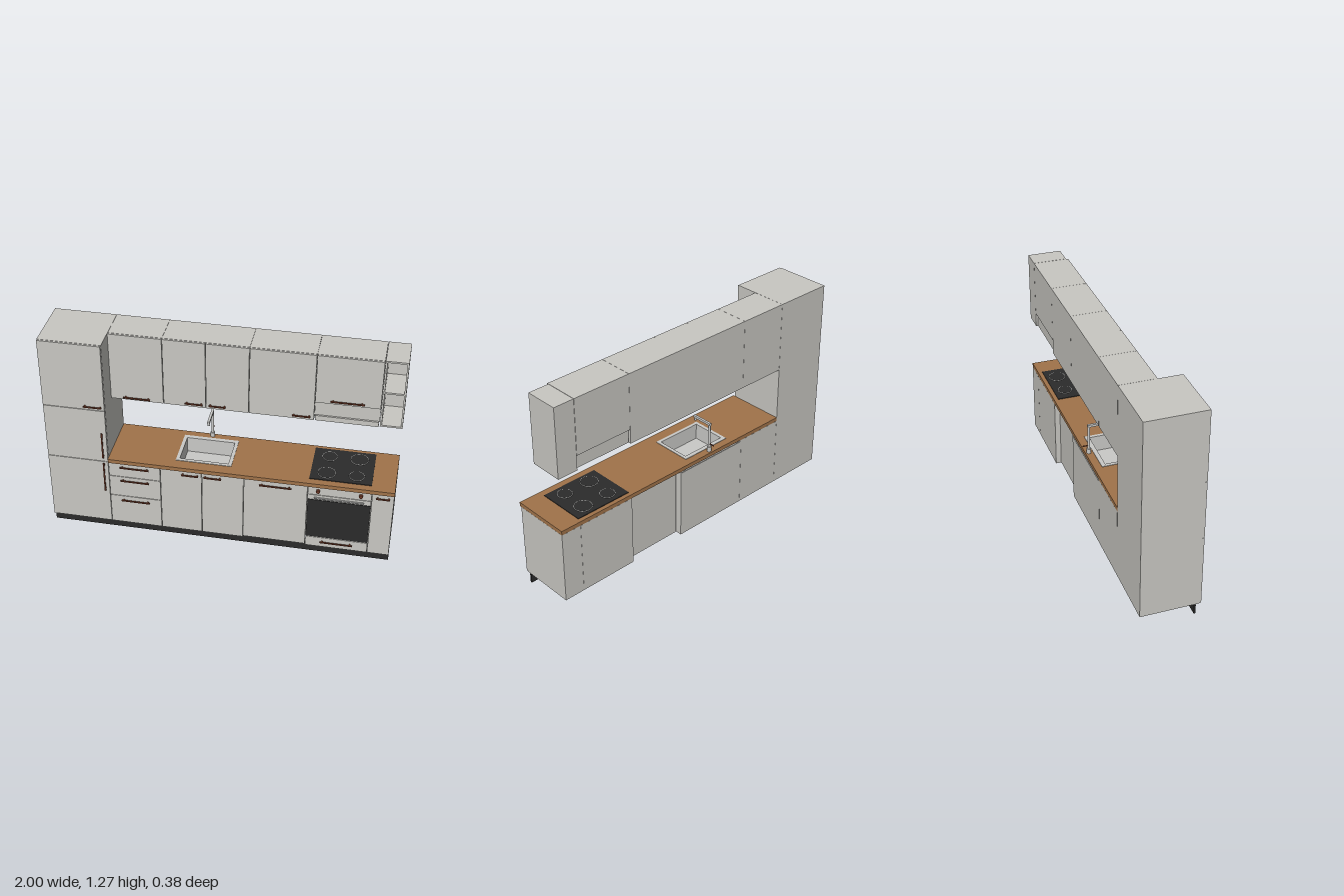
import * as THREE from 'three';

const mat = (name, color, extra = {}) => Object.assign(new THREE.MeshStandardMaterial({ color, ...extra }), { name });

export function createModel() {
  const root = new THREE.Group();
  root.name = 'kitchen';
  const grey = mat('cabinet grey', 0xc8c7c2);
  const wood = mat('worktop wood', 0xa0734a);
  const black = mat('black', 0x2b2b2b);
  const brown = mat('handle brown', 0x6b3826);
  const steel = mat('steel', 0xc9c9c7);

  const add = (name, geo, m, parent = root) => {
    const mesh = new THREE.Mesh(geo, m);
    mesh.name = name;
    parent.add(mesh);
    return mesh;
  };
  // Box given by its minimum and maximum on each axis
  const box = (name, m, x0, x1, y0, y1, z0, z1, parent = root) => {
    const b = add(name, new THREE.BoxGeometry(x1 - x0, y1 - y0, z1 - z0), m, parent);
    b.position.set((x0 + x1) / 2, (y0 + y1) / 2, (z0 + z1) / 2);
    return b;
  };
  const cyl = (name, m, r, h, x, y, z, axis = 'y', parent = root) => {
    const c = add(name, new THREE.CylinderGeometry(r, r, h, 24), m, parent);
    c.position.set(x, y, z);
    if (axis === 'z') c.rotation.x = Math.PI / 2;
    return c;
  };
  const BACK = -0.175, LOW = 0.163, UP = 0.025, T = 0.012, G = 0.0015;
  const Y0 = 0.063, YW = 0.5, YU = 0.852, YT = 1.275;

  // Front panel with a narrow shadow gap all round
  const front = (name, x0, x1, y0, y1, z = LOW) =>
    box(name, grey, x0 + G, x1 - G, y0 + G, y1 - G, z + 0.0005, z + T);

  // Bar handle on two posts
  const handle = (x0, x1, y0, y1, z) => {
    const g = new THREE.Group();
    g.name = 'handle';
    root.add(g);
    const s = 0.004, w = x1 - x0 > y1 - y0;
    box('handleBar', brown, x0, x1, y0, y1, z + 0.009, z + 0.015, g);
    for (const t of [0.08, 0.92]) {
      const px = w ? x0 + (x1 - x0) * t : (x0 + x1) / 2;
      const py = w ? (y0 + y1) / 2 : y0 + (y1 - y0) * t;
      box('handlePost', brown, px - s, px + s, py - s, py + s, z, z + 0.01, g);
    }
  };
  const handleX = (x0, x1, y, z = LOW + T) => handle(x0, x1, y - 0.004, y + 0.004, z);
  const handleY = (x, y0, y1) => handle(x - 0.004, x + 0.004, y0, y1, LOW + T);

  // Hollow cabinet of panels
  const shell = (name, x0, x1, y0, y1, z0, z1, top) => {
    const g = new THREE.Group();
    g.name = name;
    root.add(g);
    const p = 0.01;
    box('sidePanel', grey, x0, x0 + p, y0, y1, z0, z1, g);
    box('sidePanel', grey, x1 - p, x1, y0, y1, z0, z1, g);
    box('bottomPanel', grey, x0 + p, x1 - p, y0, y0 + p, z0, z1, g);
    box('backPanel', grey, x0 + p, x1 - p, y0 + p, y1 - p, z0, z0 + 0.006, g);
    if (top) box('topPanel', grey, x0 + p, x1 - p, y1 - p, y1, z0, z1, g);
    return g;
  };

  // Tall cabinet
  box('tallCabinet', grey, -1, -0.64, Y0, YT, BACK, LOW);
  [[Y0, YW], [YW, YU], [YU, YT]].forEach(([a, b]) => front('tallDoor', -1, -0.64, a, b));
  handleY(-0.665, 0.295, 0.495);
  handleY(-0.665, 0.53, 0.705);
  handleX(-0.76, -0.655, 0.877);

  // Plinth
  for (const [a, b] of [[-1, -0.335], [-0.335, 0.15], [0.15, 0.515], [0.515, 1]])
    box('plinth', black, a, b, 0, 0.06, 0.134, 0.144);

  // Drawer cabinet
  box('drawerCabinet', grey, -0.639, -0.336, Y0, YW, BACK, LOW);
  [[Y0, 0.262, 0.235], [0.262, 0.403, 0.38], [0.403, YW, 0.475]].forEach(([a, b, h]) => {
    front('drawerFront', -0.64, -0.335, a, b);
    handleX(-0.57, -0.4, h);
  });

  // Sink cabinet with two doors
  shell('sinkCabinet', -0.335, 0.15, Y0, YW, BACK, LOW, false);
  front('sinkDoor', -0.335, -0.093, Y0, YW);
  front('sinkDoor', -0.093, 0.15, Y0, YW);
  handleX(-0.21, -0.11, 0.475);
  handleX(-0.078, 0.022, 0.475);

  // Built-in dishwasher, set in from its neighbours
  box('dishwasher', grey, 0.158, 0.507, 0.072, 0.485, -0.145, LOW);
  front('dishwasherDoor', 0.15, 0.515, 0.07, YW);
  handleX(0.24, 0.425, 0.47);

  // Oven cabinet
  box('ovenCabinet', grey, 0.515, 0.874, Y0, YW, BACK, LOW);
  front('ovenDrawer', 0.515, 0.875, Y0, 0.132);
  handleX(0.6, 0.79, 0.105);
  front('ovenDoor', 0.515, 0.875, 0.132, 0.442);
  box('ovenGlass', black, 0.518, 0.872, 0.138, 0.408, LOW + T, LOW + T + 0.003);
  front('controlPanel', 0.515, 0.875, 0.442, YW);
  box('ovenBar', steel, 0.555, 0.835, 0.421, 0.429, LOW + T + 0.005, LOW + T + 0.012);
  for (const x of [0.565, 0.825]) box('ovenBarPost', steel, x - 0.004, x + 0.004, 0.422, 0.428, LOW + T, LOW + T + 0.006);
  for (const x of [0.575, 0.815]) cyl('ovenKnob', brown, 0.011, 0.014, x, 0.473, LOW + T + 0.007, 'z');

  // Narrow end cabinet
  box('endCabinet', grey, 0.875, 1, Y0, YW, BACK, LOW);
  front('endDoor', 0.875, 1, Y0, YW);
  handleX(0.9, 0.977, 0.473);

  // Worktop with a sink cut-out
  const rect = (C, x0, x1, z0, z1) => {
    const s = new C();
    s.moveTo(x0, -z1).lineTo(x1, -z1).lineTo(x1, -z0).lineTo(x0, -z0).closePath();
    return s;
  };
  const slab = (name, m, outer, inner, y, h) => {
    const s = rect(THREE.Shape, ...outer);
    s.holes.push(rect(THREE.Path, ...inner));
    const o = add(name, new THREE.ExtrudeGeometry(s, { depth: h, bevelEnabled: false }), m);
    o.rotation.x = -Math.PI / 2;
    o.position.y = y;
  };
  const bowl = [-0.235, 0.048, -0.105, 0.098];
  slab('worktop', wood, [-0.639, 1, BACK, 0.185], [-0.245, 0.058, -0.115, 0.108], YW + 0.0005, 0.0245);

  // Sink rim and bowl
  slab('sinkRim', steel, [-0.255, 0.068, -0.13, 0.118], bowl, 0.525, 0.003);
  const [bx0, bx1, bz0, bz1] = bowl, by = 0.43, w = 0.004;
  box('sinkFloor', steel, bx0 - w, bx1 + w, by - w, by, bz0 - w, bz1 + w);
  box('sinkWall', steel, bx0 - w, bx0, by, 0.526, bz0 - w, bz1 + w);
  box('sinkWall', steel, bx1, bx1 + w, by, 0.526, bz0 - w, bz1 + w);
  box('sinkWall', steel, bx0, bx1, by, 0.526, bz0 - w, bz0);
  box('sinkWall', steel, bx0, bx1, by, 0.526, bz1, bz1 + w);

  // Tap
  const fx = -0.093, fz = -0.154;
  cyl('tapBase', steel, 0.013, 0.03, fx, 0.54, fz);
  cyl('tapStem', steel, 0.0075, 0.155, fx, 0.63, fz);
  box('tapArm', steel, fx - 0.007, fx + 0.007, 0.697, 0.711, fz - 0.0075, -0.03);
  cyl('tapNozzle', steel, 0.007, 0.02, fx, 0.69, -0.04);
  cyl('tapLever', brown, 0.0035, 0.03, fx, 0.574, -0.175, 'z');

  // Hob with four ringed plates
  box('hob', black, 0.517, 0.868, 0.525, 0.529, -0.15, 0.142);
  for (const [x, z, r] of [[0.608, 0.075, 0.05], [0.778, 0.075, 0.042], [0.608, -0.08, 0.042], [0.778, -0.08, 0.05]]) {
    cyl('hobPlate', black, r, 0.003, x, 0.53, z);
    const ring = add('hobRing', new THREE.TorusGeometry(r, 0.0018, 6, 40), steel);
    ring.rotation.x = Math.PI / 2;
    ring.position.set(x, 0.53, z);
  }

  // Wall cabinets
  for (const [a, b] of [[-0.639, -0.336], [-0.335, 0.149], [0.15, 0.514]])
    box('wallCabinet', grey, a, b, YU, YT, BACK, UP);
  for (const [a, b, h0, h1, hy] of [
    [-0.64, -0.335, -0.565, -0.41, 0.872], [-0.335, -0.093, -0.21, -0.11, 0.877],
    [-0.093, 0.15, -0.075, 0.022, 0.877], [0.15, 0.515, 0.395, 0.495, 0.877]]) {
    front('wallDoor', a, b, YU, YT, UP);
    handleX(h0, h1, hy, UP + T);
  }

  // Hood cabinet with a slim extractor beneath
  box('hoodCabinet', grey, 0.515, 0.874, 0.94, YT, BACK, UP);
  front('hoodDoor', 0.515, 0.875, 0.972, YT, UP);
  handleX(0.6, 0.787, 0.995, UP + T);
  box('hoodBody', grey, 0.52, 0.87, 0.858, 0.94, -0.165, UP - 0.005);
  box('hoodPanel', grey, 0.516, 0.874, 0.888, 0.97, UP - 0.005, UP + 0.004);
  box('hoodSlider', grey, 0.52, 0.87, 0.855, 0.886, UP - 0.005, UP + T);
  box('hoodFilter', black, 0.54, 0.85, 0.854, 0.859, -0.155, -0.055);

  // Open end shelf
  const open = shell('openShelf', 0.876, 1, YU, YT, BACK, UP, true);
  box('shelfBoard', grey, 0.886, 0.99, 1.066, 1.076, BACK + 0.006, UP - 0.002, open);

  return root;
}
